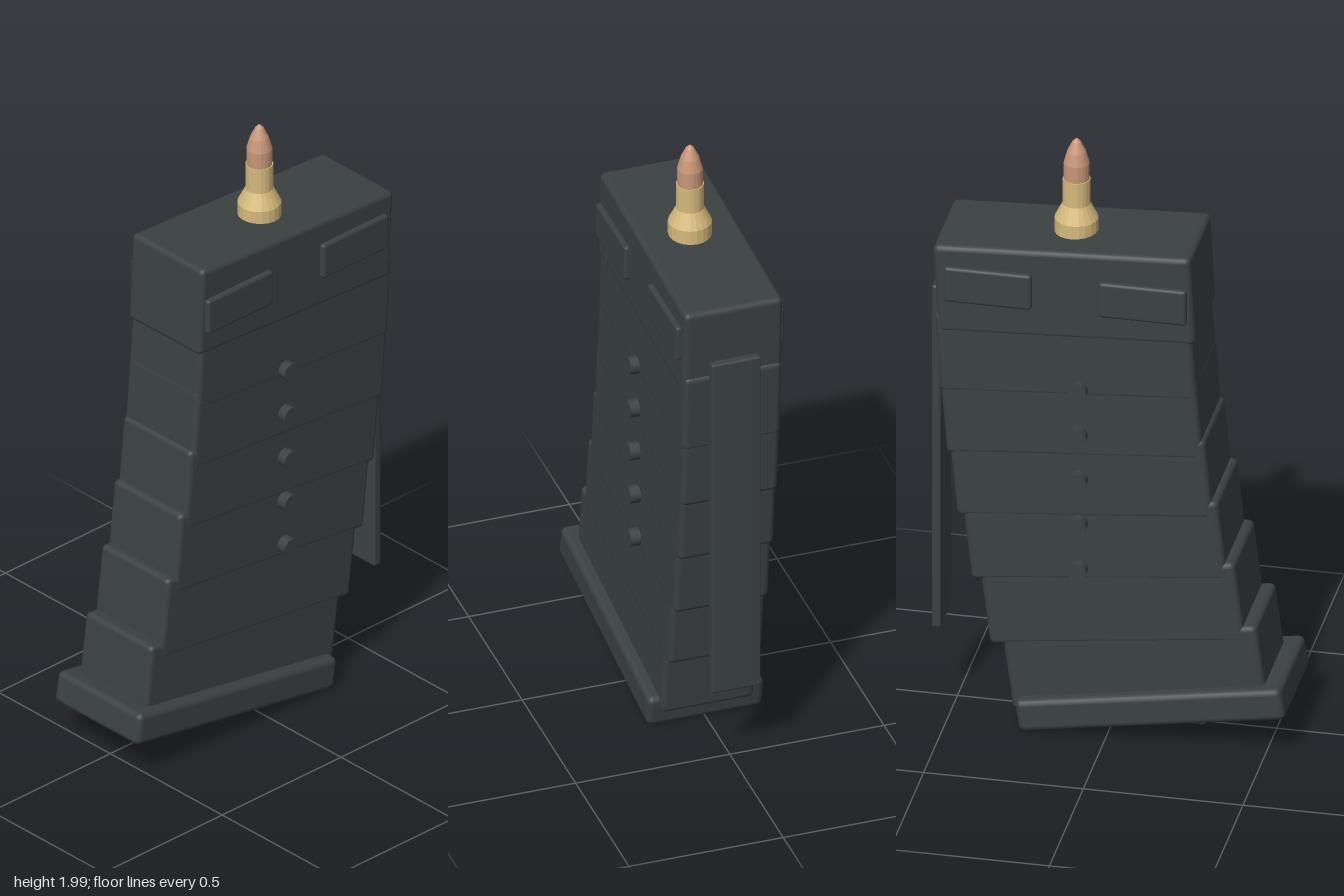
import * as THREE from 'three';
import { RoundedBoxGeometry } from 'three/addons/geometries/RoundedBoxGeometry.js';

const polymer = new THREE.MeshStandardMaterial({ color: 0x3b4141 });
polymer.name = 'dark polymer';
const brass = new THREE.MeshStandardMaterial({ color: 0xd6ba7c, flatShading: true });
brass.name = 'brass';
const copper = new THREE.MeshStandardMaterial({ color: 0xc89678, flatShading: true });
copper.name = 'copper';

export function createModel() {
  const model = new THREE.Group();
  model.name = 'magazine';

  // Rounded box, tilted in degrees so that its front end rises
  const block = (name, size, pos, tilt = 0, radius = 0.018) => {
    const mesh = new THREE.Mesh(new RoundedBoxGeometry(...size, 2, radius), polymer);
    mesh.name = name;
    mesh.position.set(...pos);
    mesh.rotation.x = -THREE.MathUtils.degToRad(tilt);
    model.add(mesh);
  };

  // Top block and base plate
  block('topBlock', [0.32, 0.3, 0.808], [0, 1.53, -0.134], 3);
  block('basePlate', [0.376, 0.107, 0.845], [0, 0.124, 0.14], 9.2, 0.02);
  block('baseLatch', [0.125, 0.05, 0.275], [0, 0.05, 0.153], 0, 0.008);

  // Curved body: overlapping segments [y, z, tilt] from top to bottom
  const segments = [
    [1.315, -0.13, 4], [1.105, -0.1125, 4.7], [0.895, -0.0825, 5.5],
    [0.68, -0.04, 6.2], [0.465, 0.015, 7], [0.2475, 0.085, 7.6],
  ];
  segments.forEach(([y, z, tilt], i) =>
    block('bodySegment' + (i + 1), [0.316 - i * 0.003, 0.274, 0.805], [0, y, z], tilt));

  // Spine strip behind the body
  block('backSpine', [0.16, 1.195, 0.03], [0, 0.878, -0.55], 0, 0.008);

  // Raised panels and round studs on both sides
  for (const side of [-1, 1]) {
    const label = side > 0 ? 'left' : 'right';
    block(label + 'FrontPanel', [0.04, 0.12, 0.275], [side * 0.156, 1.536, 0.115], 0, 0.01);
    block(label + 'BackPanel', [0.04, 0.12, 0.275], [side * 0.156, 1.536, -0.37], 0, 0.01);
    for (let i = 0; i < 5; i++) {
      const stud = new THREE.Mesh(new THREE.CylinderGeometry(0.029, 0.029, 0.05, 12), polymer);
      stud.name = label + 'Stud' + (i + 1);
      stud.rotation.z = Math.PI / 2;
      stud.position.set(side * 0.162, 1.21 - i * 0.1565, -0.087);
      model.add(stud);
    }
  }

  // Cartridge standing on top
  const cartridge = new THREE.Group();
  cartridge.name = 'cartridge';
  cartridge.position.z = -0.127;
  const turned = (name, profile, material) => {
    const points = profile.map(([r, y]) => new THREE.Vector2(r, y));
    const mesh = new THREE.Mesh(new THREE.LatheGeometry(points, 20), material);
    mesh.name = name;
    cartridge.add(mesh);
  };
  turned('case', [[0, 1.6], [0.068, 1.6], [0.068, 1.725], [0.043, 1.775], [0.043, 1.86], [0, 1.86]], brass);
  turned('bullet', [[0.04, 1.85], [0.04, 1.915], [0.029, 1.955], [0.013, 1.988], [0, 2]], copper);
  model.add(cartridge);

  return model;
}
